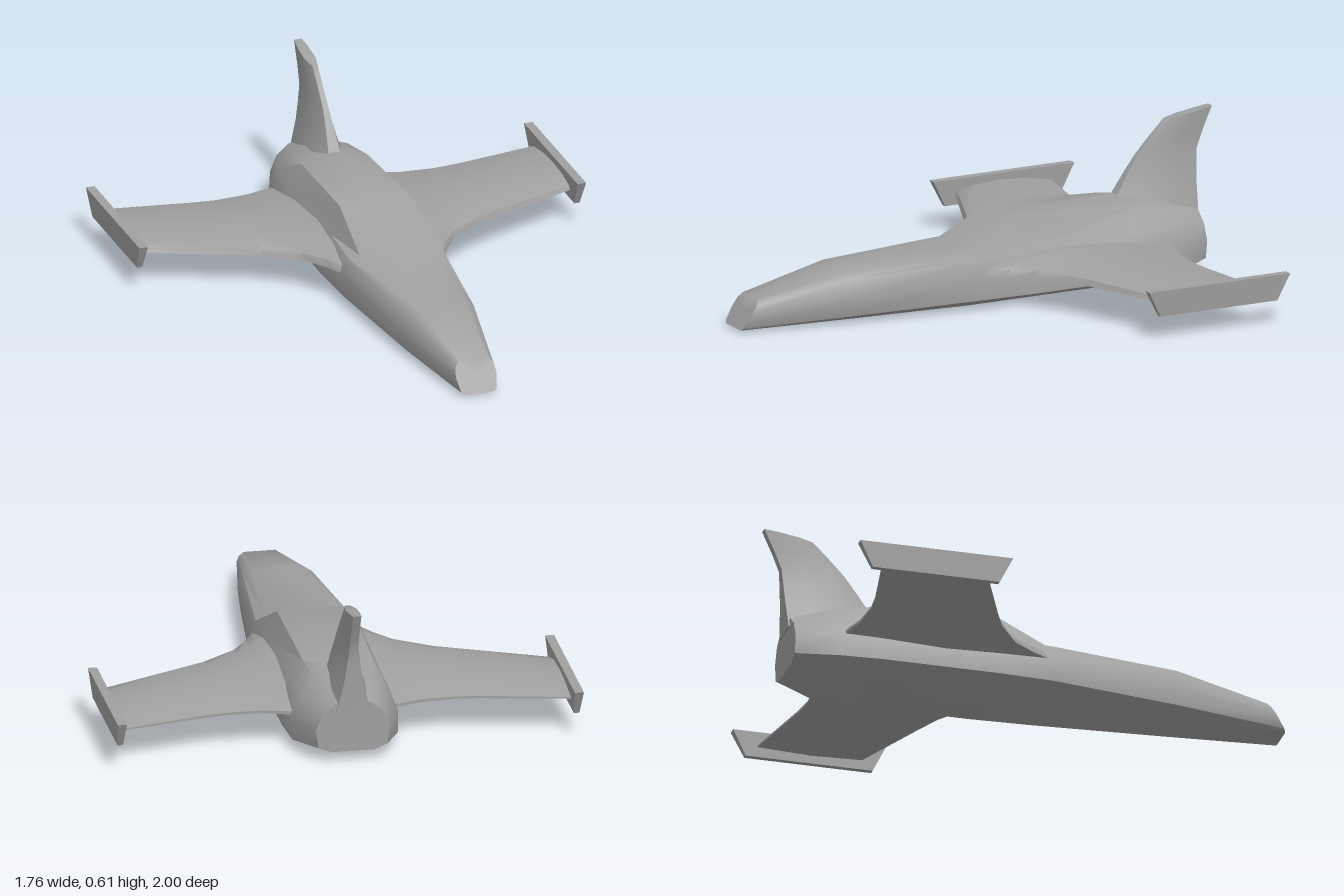
import * as THREE from 'three';
import { toCreasedNormals } from 'three/addons/utils/BufferGeometryUtils.js';

// Skin a list of closed rings ([x, y, z] points) and cap both ends
function loft(rings, crease) {
  const n = rings[0].length;
  const pos = rings.flat(2);
  const idx = [];
  for (let r = 0; r < rings.length - 1; r++) {
    for (let i = 0; i < n; i++) {
      const a = r * n + i, b = r * n + (i + 1) % n;
      idx.push(a, b, b + n, a, b + n, a + n);
    }
  }
  [0, rings.length - 1].forEach((r) => {
    const centre = pos.length / 3;
    for (let k = 0; k < 3; k++) pos.push(rings[r].reduce((s, p) => s + p[k], 0) / n);
    for (let i = 0; i < n; i++) {
      const a = r * n + i, b = r * n + (i + 1) % n;
      if (r === 0) idx.push(centre, b, a);
      else idx.push(centre, a, b);
    }
  });
  // Turn the faces outward if the enclosed volume comes out negative
  const v = (i) => new THREE.Vector3().fromArray(pos, i * 3);
  let volume = 0;
  for (let i = 0; i < idx.length; i += 3) {
    volume += v(idx[i]).dot(v(idx[i + 1]).cross(v(idx[i + 2])));
  }
  if (volume < 0) idx.reverse();
  const geo = new THREE.BufferGeometry();
  geo.setAttribute('position', new THREE.Float32BufferAttribute(pos, 3));
  geo.setIndex(idx);
  return toCreasedNormals(geo, crease);
}

export function createModel() {
  const group = new THREE.Group();
  const hullGrey = new THREE.MeshStandardMaterial({ color: 0xa0a0a0 });
  hullGrey.name = 'hullGrey';

  const add = (name, geometry) => {
    const mesh = new THREE.Mesh(geometry, hullGrey);
    mesh.name = name;
    group.add(mesh);
  };

  // Fuselage: z, lean, then half outline from keel to spine
  const stations = [
    [1.0, 0.64, [[0.06, 0.01], [0.07, 0.02], [0.08, 0.07], [0.075, 0.1], [0.06, 0.12]], 0.12],
    [0.57, 0, [[0.085, 0.005], [0.14, 0.03], [0.15, 0.1], [0.13, 0.17], [0.1, 0.19]], 0.195],
    [0.07, 0, [[0.11, 0], [0.2, 0.04], [0.205, 0.13], [0.18, 0.19], [0.14, 0.2]], 0.2],
    [-0.15, 0, [[0.11, 0], [0.21, 0.04], [0.21, 0.13], [0.175, 0.2], [0.14, 0.31]], 0.312],
    [-0.6, 0, [[0.11, 0], [0.21, 0.04], [0.21, 0.13], [0.175, 0.2], [0.13, 0.29]], 0.32],
    [-0.76, 0, [[0.11, 0.005], [0.2, 0.04], [0.2, 0.13], [0.165, 0.21], [0.11, 0.27]], 0.31],
    [-0.915, 0, [[0.08, 0.04], [0.13, 0.06], [0.14, 0.13], [0.115, 0.19], [0.07, 0.23]], 0.25],
  ];
  add('fuselage', loft(stations.map(([z, lean, half, spine]) => {
    const at = ([x, y], s) => [s * x, y, z - lean * (y - 0.01)];
    return [
      ...half.map((p) => at(p, 1)),
      at([0, spine], 1),
      ...half.slice().reverse().map((p) => at(p, -1)),
    ];
  }), 0.85));

  // Wings: x, leading z, trailing z, lower y, crest y
  const ribs = [
    [0.12, 0.1, -0.74, 0.115, 0.2],
    [0.205, 0.04, -0.737, 0.115, 0.198],
    [0.24, -0.025, -0.73, 0.117, 0.196],
    [0.3, -0.11, -0.712, 0.119, 0.193],
    [0.43, -0.2, -0.705, 0.12, 0.187],
    [0.52, -0.24, -0.715, 0.121, 0.183],
    [0.86, -0.38, -0.782, 0.123, 0.166],
  ];
  // Aerofoil: fraction of chord, fraction of thickness
  const foil = [[0, 0.15], [0.02, 0.5], [0.2, 0.85], [0.45, 1], [0.75, 0.8], [1, 0.35], [1, 0.2], [0.5, 0]];
  // Tip plates: side outline as [y, front z, back z]
  const plate = [[0.092, -0.335, -0.825], [0.192, -0.285, -0.875]];

  for (const [label, s] of [['left', 1], ['right', -1]]) {
    add(label + 'Wing', loft(ribs.map(([x, front, back, low, top]) =>
      foil.map(([c, t]) => [s * x, low + t * (top - low), front + c * (back - front)])), 0.9));

    add(label + 'TipPlate', loft(plate.map(([y, front, back], i) => {
      const inner = s * (0.853 - 0.005 * i), outer = s * (0.874 + 0.008 * i);
      return [[inner, y, front], [outer, y, front], [outer, y, back], [inner, y, back]];
    }), 0.4));
  }

  // Tail fin: y, front z, back z, half width, rise of the swept tip
  const finLevels = [
    [0.2, -0.52, -0.92, 0.09, 0],
    [0.32, -0.6, -0.926, 0.05, 0],
    [0.39, -0.645, -0.93, 0.036, 0],
    [0.455, -0.69, -0.935, 0.025, 0],
    [0.52, -0.75, -0.96, 0.022, 0],
    [0.58, -0.81, -1.0, 0.022, 0.03],
  ];
  const finSection = [[0, 0.45], [0.3, 1], [0.7, 0.95], [1, 0.7]];
  add('tailFin', loft(finLevels.map(([y, front, back, w, rise]) => {
    const at = ([c, k], s) => [s * k * w, y + rise * c, front + c * (back - front)];
    return [
      ...finSection.map((p) => at(p, 1)),
      ...finSection.slice().reverse().map((p) => at(p, -1)),
    ];
  }), 0.85));

  return group;
}
